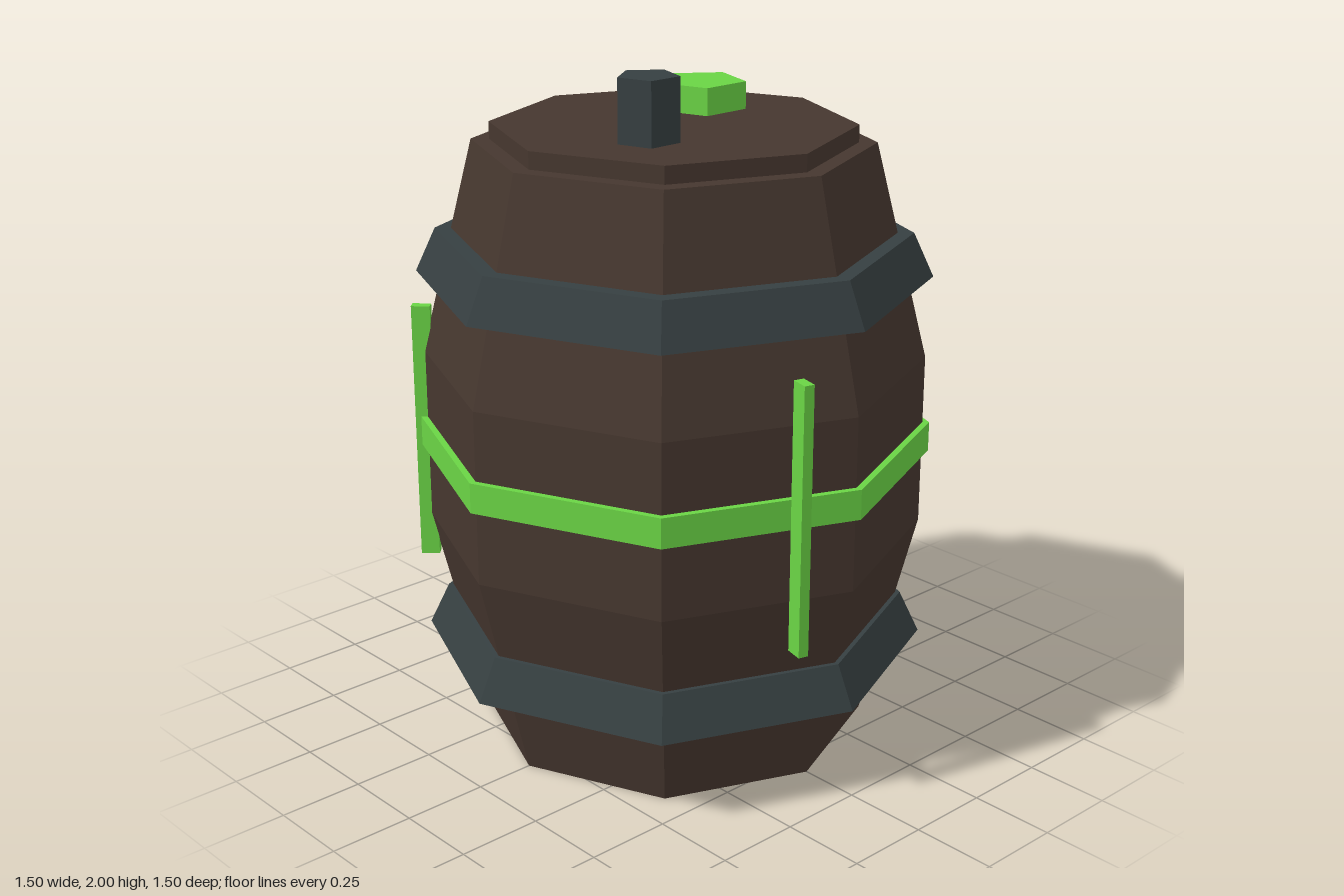
import * as THREE from 'three';

const material = (name, color) => {
  const m = new THREE.MeshStandardMaterial({ color, flatShading: true });
  m.name = name;
  return m;
};

export function createModel() {
  const wood = material('dark wood', 0x46372f);
  const iron = material('dark iron', 0x363f41);
  const green = material('bright green', 0x6ad445);
  const model = new THREE.Group();
  model.name = 'barrel';

  const add = (name, geometry, mat, x = 0, y = 0, z = 0) => {
    const mesh = new THREE.Mesh(geometry, mat);
    mesh.name = name;
    mesh.position.set(x, y, z);
    model.add(mesh);
    return mesh;
  };

  // Eight-sided turned shape from [radius, height] pairs, bottom to top
  const turned = (points) =>
    new THREE.LatheGeometry(points.map(([r, y]) => new THREE.Vector2(r, y)), 8);

  // Barrel body with a raised lid
  add('body', turned([
    [0, 0], [0.572, 0], [0.73, 0.63], [0.73, 1.14], [0.572, 1.77],
    [0.52, 1.77], [0.52, 1.82], [0, 1.82],
  ]), wood);

  // Flared iron hoops and the straight green hoop
  const hoop = (name, y0, y1, r0, r1, mat) =>
    add(name, turned([[0.6, y0], [r0, y0], [r1, y1], [0.6, y1]]), mat);
  hoop('lowerHoop', 0.265, 0.39, 0.743, 0.684, iron);
  hoop('upperHoop', 1.382, 1.51, 0.743, 0.684, iron);
  hoop('middleHoop', 0.85, 0.938, 0.75, 0.75, green);

  // Upright strips set radially around the middle
  [['frontStrip', -15], ['rightStrip', 105], ['backStrip', 225]].forEach(([name, degrees]) => {
    const a = THREE.MathUtils.degToRad(degrees);
    const strip = add(name, new THREE.BoxGeometry(0.03, 0.78, 0.055), green,
      0.733 * Math.sin(a), 0.888, 0.733 * Math.cos(a));
    strip.rotation.y = a;
  });

  // Five-sided plug and pipe on the lid
  const peg = (name, r, top, x, z, mat) => {
    const height = top - 1.81;
    add(name, new THREE.CylinderGeometry(r, r, height, 5), mat, x, 1.81 + height / 2, z)
      .rotation.y = Math.PI;
  };
  peg('plug', 0.13, 1.9, 0.207, -0.105, green);
  peg('pipe', 0.0885, 2, -0.21, 0.128, iron);

  return model;
}
